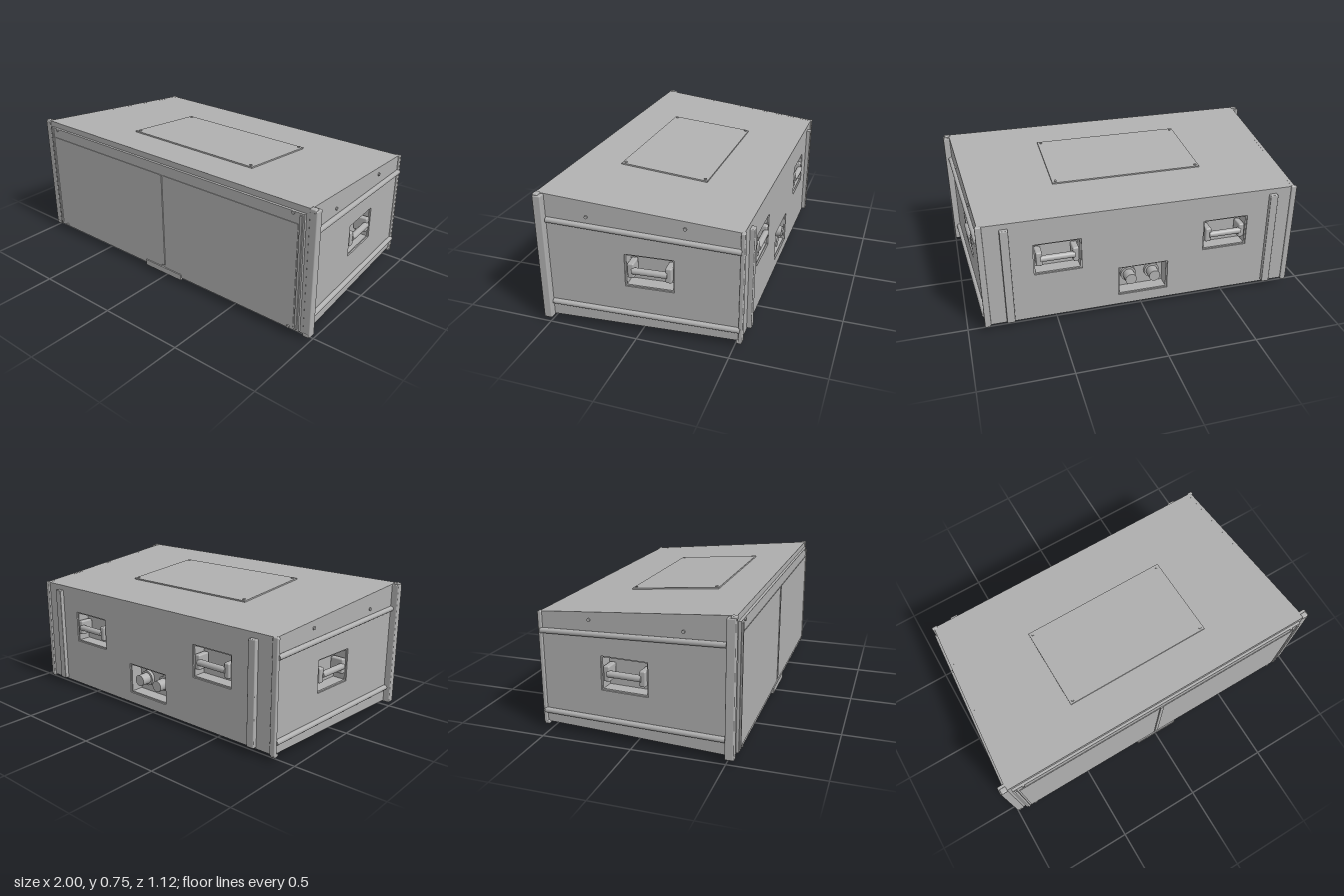
import * as THREE from 'three';
import { RoundedBoxGeometry } from 'three/addons/geometries/RoundedBoxGeometry.js';

const grey = new THREE.MeshStandardMaterial({ color: 0xb0b0b0 });
grey.name = 'grey';

// Outline rules of the tapered cabinet
const halfWidth = z => 0.93 + 0.0654 * z;
const topY = z => 0.702 + 0.087 * z;
const bottomY = z => 0.035 - 0.0047 * z;
const BACK = -0.535, FRONT = 0.535;

function add(parent, name, geometry, x = 0, y = 0, z = 0) {
  const mesh = new THREE.Mesh(geometry, grey);
  mesh.name = name;
  mesh.position.set(x, y, z);
  parent.add(mesh);
  return mesh;
}
const box = (w, h, d) => new THREE.BoxGeometry(w, h, d);
const rounded = (w, h, d, r) => new RoundedBoxGeometry(w, h, d, 2, r);

function subgroup(parent, name, x, y, z) {
  const g = new THREE.Group();
  g.name = name;
  g.position.set(x, y, z);
  parent.add(g);
  return g;
}

// Box reshaped to the cabinet taper between two depths and two height rules
function slab(z0, z1, low, high) {
  const g = box(2, 2, 2), p = g.attributes.position;
  for (let i = 0; i < p.count; i++) {
    const z = p.getZ(i) > 0 ? z1 : z0;
    p.setXYZ(i, p.getX(i) * (halfWidth(z) - 0.002), p.getY(i) > 0 ? high(z) : low(z), z);
  }
  g.computeVertexNormals();
  return g;
}

const rectPoints = (x, y, w, h) => [[-1, -1], [1, -1], [1, 1], [-1, 1]]
  .map(([a, b]) => new THREE.Vector2(x + a * w / 2, y + b * h / 2));

// Sheet with rectangular holes, its outer face on local z = 0
function sheet(points, holes, depth) {
  const shape = new THREE.Shape(points);
  holes.forEach(h => shape.holes.push(new THREE.Path(rectPoints(...h))));
  return new THREE.ExtrudeGeometry(shape, { depth, bevelEnabled: false }).translate(0, 0, -depth);
}

function screw(parent, x, y, z, r = 0.009) {
  add(parent, 'screw', new THREE.CylinderGeometry(r, r, 0.008, 12).rotateX(Math.PI / 2), x, y, z);
}

// Sunken tray behind a hole in a panel
const POCKET = 0.08;
function pocket(parent, name, x, y, w, h) {
  const g = subgroup(parent, name, x, y, 0);
  add(g, 'trayWall', sheet(rectPoints(0, 0, w + 0.02, h + 0.02),
    [[0, 0, w - 0.016, h - 0.016]], POCKET - 0.008), 0, 0, -0.008);
  add(g, 'trayBack', box(w + 0.02, h + 0.02, 0.01), 0, 0, -POCKET - 0.005);
  return g;
}

function handle(parent, x, y) {
  const g = pocket(parent, 'handleRecess', x, y, 0.265, 0.187);
  for (const s of [-1, 1])
    add(g, 'handleMount', rounded(0.035, 0.085, POCKET, 0.008), s * 0.101, 0, -POCKET / 2 + 0.002);
  add(g, 'handleGrip', new THREE.CylinderGeometry(0.018, 0.018, 0.19, 16).rotateZ(Math.PI / 2), 0, 0, -0.006);
}

function rail(parent, u0, y0, u1, y1) {
  const length = Math.hypot(u1 - u0, y1 - y0);
  const m = add(parent, 'sideRail', new THREE.CylinderGeometry(0.015, 0.015, length, 12),
    (u0 + u1) / 2, (y0 + y1) / 2, 0.006);
  m.rotation.z = Math.atan2(y1 - y0, u1 - u0) - Math.PI / 2;
}

export function createModel() {
  const model = new THREE.Group();
  model.name = 'cabinet';

  // Top, bottom and front boards
  add(model, 'topBoard', slab(BACK, FRONT, z => topY(z) - 0.02, topY));
  add(model, 'bottomBoard', slab(BACK, FRONT, bottomY, z => bottomY(z) + 0.02));
  add(model, 'frontBoard', slab(0.515, FRONT, bottomY, topY));

  // Side boards, each with a handle, two rails and screws
  const profile = [[0.53, 0.03], [-0.53, 0.04], [-0.54, 0.055], [-0.54, 0.643],
    [-0.536, 0.652], [-0.525, 0.657], [0.53, 0.748]];
  for (const d of [1, -1]) {
    const side = subgroup(model, d > 0 ? 'leftSide' : 'rightSide', d * halfWidth(0), 0, 0);
    side.rotation.y = d * (Math.PI / 2 + Math.atan(0.0654));
    const points = profile.map(([z, y]) => new THREE.Vector2(-d * z, y));
    add(side, 'sideBoard', sheet(points, [[d * 0.055, 0.362, 0.265, 0.187]], 0.02));
    handle(side, d * 0.055, 0.362);
    rail(side, -d * 0.49, 0.602, d * 0.53, 0.554);
    rail(side, -d * 0.49, 0.115, d * 0.53, 0.105);
    screw(side, -d * 0.27, 0.64, 0.003);
    screw(side, d * 0.245, 0.64, 0.003);

    // Front corner posts with end caps
    add(model, 'frontPost', rounded(0.043, 0.72, 0.046, 0.006), d * 0.9785, 0.382, 0.515);
    add(model, 'postCap', rounded(0.036, 0.022, 0.03, 0.006), d * 0.975, 0.74, 0.525);
    add(model, 'postCap', rounded(0.036, 0.022, 0.03, 0.006), d * 0.975, 0.03, 0.525);

    // Rear corner posts and upright runners
    add(model, 'rearPost', rounded(0.034, 0.625, 0.022, 0.006), d * 0.89, 0.345, -0.532);
    add(model, 'rearCap', rounded(0.03, 0.02, 0.03, 0.006), d * 0.892, 0.034, -0.525);
    add(model, 'rearRunner', rounded(0.046, 0.58, 0.03, 0.005), d * 0.763, 0.335, -0.545);
  }

  // Back board with two handles and a connector tray
  const back = subgroup(model, 'back', 0, 0, BACK);
  back.rotation.y = Math.PI;
  add(back, 'backBoard', sheet(rectPoints(0, 0.347, 1.785, 0.61),
    [[-0.485, 0.412, 0.265, 0.187], [0.485, 0.412, 0.265, 0.187], [0, 0.19, 0.29, 0.18]], 0.02));
  handle(back, -0.485, 0.412);
  handle(back, 0.485, 0.412);
  const tray = pocket(back, 'connectorRecess', 0, 0.19, 0.29, 0.18);
  for (const x of [-0.07, 0.07]) {
    add(tray, 'connectorCollar', new THREE.CylinderGeometry(0.045, 0.045, 0.02, 20).rotateX(Math.PI / 2), x, 0, -0.072);
    add(tray, 'connectorBarrel', new THREE.CylinderGeometry(0.033, 0.033, 0.075, 20).rotateX(Math.PI / 2), x, 0, -0.04);
  }

  // Front grille with two fields, edge strips, divider and lower plate
  add(model, 'grille', box(1.88, 0.675, 0.015), 0, 0.3775, 0.542);
  for (const s of [-1, 1]) {
    add(model, 'grilleField', box(0.893, 0.595, 0.006), s * 0.4605, 0.3575, 0.55);
    add(model, 'edgeStrip', box(0.014, 0.65, 0.009), s * 0.923, 0.38, 0.5525);
    for (const y of [0.05, 0.708]) screw(model, s * 0.876, y, 0.552);
  }
  add(model, 'divider', box(0.022, 0.575, 0.008), 0, 0.3675, 0.552);
  add(model, 'lowerPlate', box(0.275, 0.035, 0.02), 0, 0.0475, 0.55);

  // Sloping cover on the top with corner screws
  const cover = subgroup(model, 'topCover', 0, topY(0.0475), 0.0475);
  cover.rotation.x = -Math.atan(0.087);
  add(cover, 'coverPlate', box(0.88, 0.008, 0.505), 0, 0.004, 0);
  for (const x of [-0.42, 0.42]) for (const z of [-0.235, 0.235])
    add(cover, 'coverScrew', new THREE.CylinderGeometry(0.008, 0.008, 0.007, 12), x, 0.0095, z);

  // Feet
  for (const x of [-0.62, 0.62]) for (const z of [0.36, -0.315])
    add(model, 'foot', rounded(0.108, 0.042, 0.11, 0.007), x, 0.021, z);

  return model;
}
